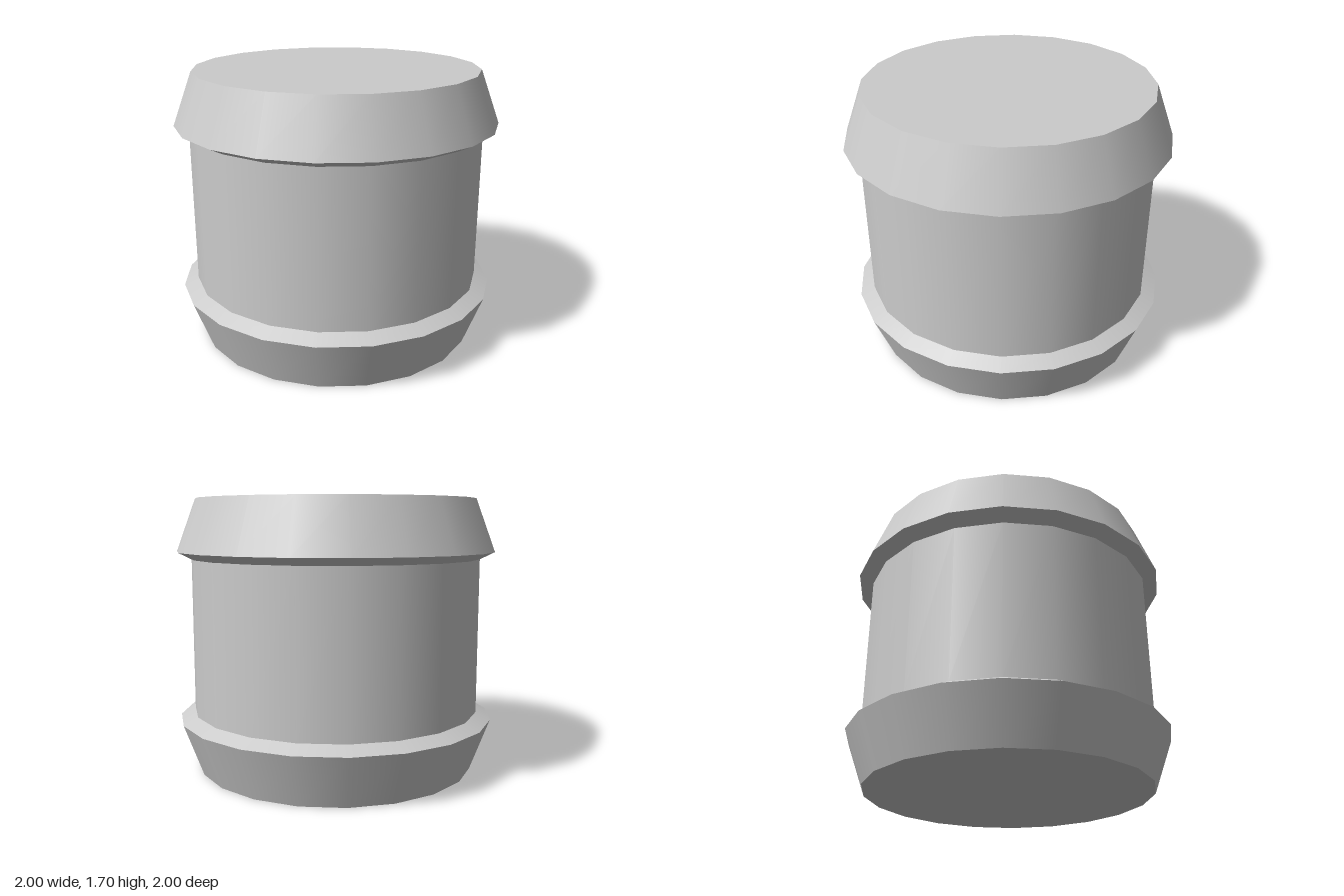
import * as THREE from 'three';

const SIDES = 20;
const material = new THREE.MeshStandardMaterial({ color: 0xcccccc });

// Open band between two rings: smooth around, with hard edges at its rims
function band(name, r0, y0, r1, y1) {
  const geometry = new THREE.CylinderGeometry(r1, r0, y1 - y0, SIDES, 1, true);
  const mesh = new THREE.Mesh(geometry, material);
  mesh.position.y = (y0 + y1) / 2;
  mesh.name = name;
  return mesh;
}

// Flat end disc facing up (dir = 1) or down (dir = -1)
function disc(name, r, y, dir) {
  const mesh = new THREE.Mesh(new THREE.CircleGeometry(r, SIDES), material);
  mesh.rotation.x = -dir * Math.PI / 2;
  mesh.position.y = y;
  mesh.name = name;
  return mesh;
}

export function createModel() {
  const model = new THREE.Group();
  model.name = 'drum';

  const height = 1.7, endR = 0.88, rimR = 1, bodyR = 0.91;
  const rimY = 0.325, bodyY = 0.37;

  // Straight body
  model.add(band('body', bodyR, bodyY, bodyR, height - bodyY));

  // Lower flared collar
  const lower = new THREE.Group();
  lower.name = 'lowerCollar';
  lower.add(
    disc('bottomFace', endR, 0, -1),
    band('lowerFlare', endR, 0, rimR, rimY),
    band('lowerLedge', rimR, rimY, bodyR, bodyY)
  );

  // Upper collar, the lower one mirrored
  const upper = new THREE.Group();
  upper.name = 'upperCollar';
  upper.add(
    band('upperLedge', bodyR, height - bodyY, rimR, height - rimY),
    band('upperFlare', rimR, height - rimY, endR, height),
    disc('topFace', endR, height, 1)
  );

  model.add(lower, upper);
  return model;
}
